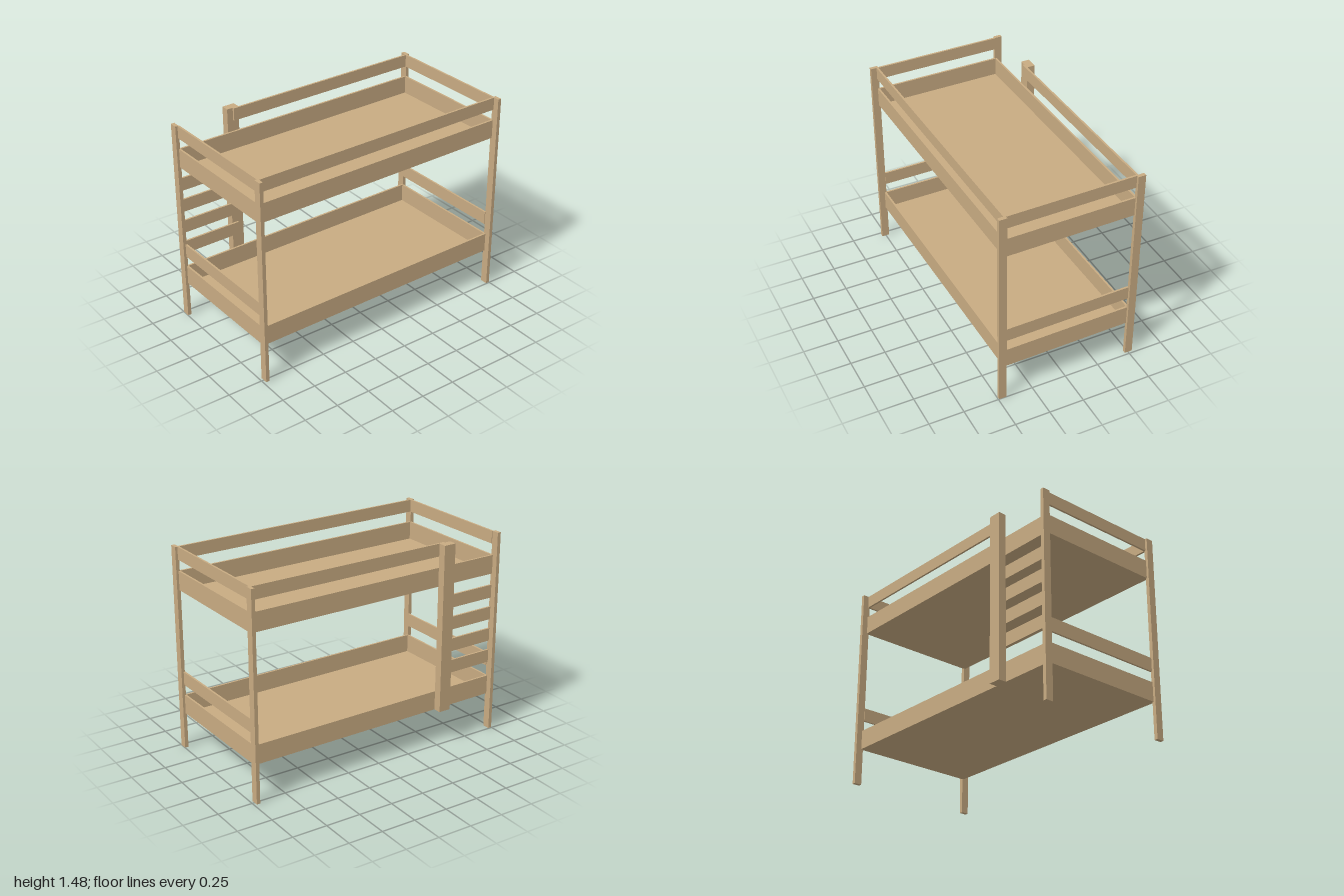
import * as THREE from 'three';

export function createModel() {
  const model = new THREE.Group();
  model.name = 'bunkBed';
  const wood = new THREE.MeshStandardMaterial({ color: 0xc8ab82 });
  wood.name = 'lightWood';

  // The frame stands turned by one degree
  const frame = new THREE.Group();
  frame.name = 'frame';
  frame.rotation.y = THREE.MathUtils.degToRad(1);
  model.add(frame);

  // Box given by its extents along each axis
  function board(name, [x0, x1], [y0, y1], [z0, z1]) {
    const mesh = new THREE.Mesh(new THREE.BoxGeometry(x1 - x0, y1 - y0, z1 - z0), wood);
    mesh.position.set((x0 + x1) / 2, (y0 + y1) / 2, (z0 + z1) / 2);
    mesh.name = name;
    frame.add(mesh);
  }
  // Extent on the positive or negative side
  const mirrored = (s, a, b) => (s > 0 ? [a, b] : [-b, -a]);

  const inX = 0.4575, outX = 0.4715; // side boards
  const endZ = 0.965; // inner face of the posts
  const ladderZ = 0.537; // middle of the ladder post
  const height = 1.48;
  const guard = [1.39, height], upper = [1.175, 1.31];
  const lowGuard = [0.48, 0.577], lower = [0.263, 0.402];

  // Corner posts
  for (const sx of [-1, 1])
    for (const sz of [-1, 1])
      board('cornerPost', mirrored(sx, inX, 0.5125), [0, height], mirrored(sz, endZ, 0.991));

  // Head and foot boards
  for (const s of [-1, 1])
    for (const y of [guard, upper, lowGuard, lower])
      board('endBoard', [-inX, inX], y, mirrored(s, 0.96, 0.974));

  // Long side boards; the guard on the ladder side stops at the ladder
  for (const s of [-1, 1]) {
    const x = mirrored(s, inX, outX);
    for (const y of [upper, lower]) board('sideBoard', x, y, [-endZ, endZ]);
    board('guardRail', x, guard, [-endZ, s > 0 ? endZ : ladderZ]);
  }

  // Bed bases, level with the bottom of the boards
  for (const [y] of [upper, lower])
    board('bedBase', [-inX, inX], [y, y + 0.006], [-0.96, 0.96]);

  // Ladder post and rungs
  board('ladderPost', [-0.529, -outX], [lower[0], height], [0.491, 0.581]);
  for (let i = 0; i < 4; i++) {
    const y = 0.51 + i * 0.1625;
    board('ladderRung', [-outX, -inX], [y, y + 0.094], [ladderZ, endZ]);
  }
  return model;
}
